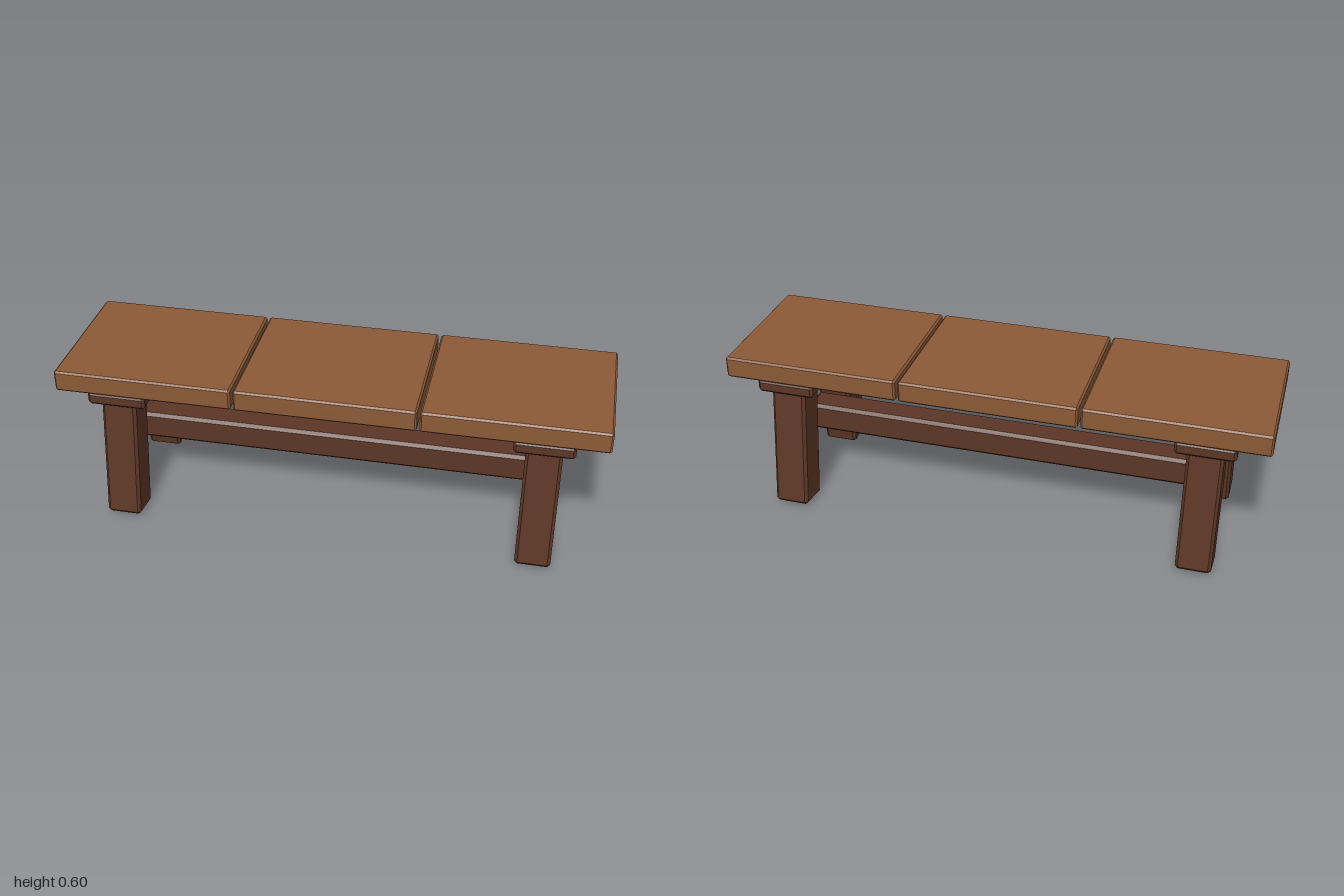
import * as THREE from 'three';
import { ConvexGeometry } from 'three/addons/geometries/ConvexGeometry.js';

// Box with every edge and corner cut by a flat chamfer c
function chamferBox(w, h, d, c) {
  const points = [];
  for (const sx of [-1, 1]) for (const sy of [-1, 1]) for (const sz of [-1, 1]) {
    const x = w / 2, y = h / 2, z = d / 2;
    points.push(
      new THREE.Vector3(sx * x, sy * (y - c), sz * (z - c)),
      new THREE.Vector3(sx * (x - c), sy * y, sz * (z - c)),
      new THREE.Vector3(sx * (x - c), sy * (y - c), sz * z)
    );
  }
  return new ConvexGeometry(points);
}

export function createModel() {
  const bench = new THREE.Group();
  bench.name = 'bench';
  const lightWood = new THREE.MeshStandardMaterial({ color: 0x8b5a37, flatShading: true });
  const darkWood = new THREE.MeshStandardMaterial({ color: 0x5c3626, flatShading: true });

  function add(name, geometry, material, x, y, z) {
    const mesh = new THREE.Mesh(geometry, material);
    mesh.name = name;
    mesh.position.set(x, y, z);
    bench.add(mesh);
    return mesh;
  }

  // Seat: three boards side by side with narrow gaps
  const board = chamferBox(0.66, 0.081, 0.554, 0.007);
  for (const i of [-1, 0, 1]) add('seatBoard', board, lightWood, i * 0.67, 0.5645, 0);

  // Cross rails under the seat, each with a pair of splayed legs
  const rail = chamferBox(0.216, 0.05, 0.54, 0.01);
  const leg = chamferBox(0.13, 0.51, 0.13, 0.011);
  const splay = THREE.MathUtils.degToRad(8.2);
  for (const sx of [-1, 1]) {
    add('crossRail', rail, darkWood, sx * 0.775, 0.5, 0);
    for (const sz of [-1, 1]) {
      const z = 0.249 - 0.255 * Math.sin(splay);
      const y = 0.01 + 0.255 * Math.cos(splay);
      add('leg', leg, darkWood, sx * 0.775, y, sz * z).rotation.x = -sz * splay;
    }
  }

  // Long stretcher between the leg pairs
  add('stretcher', chamferBox(1.58, 0.109, 0.11, 0.012), darkWood, 0, 0.2585, 0);

  return bench;
}
